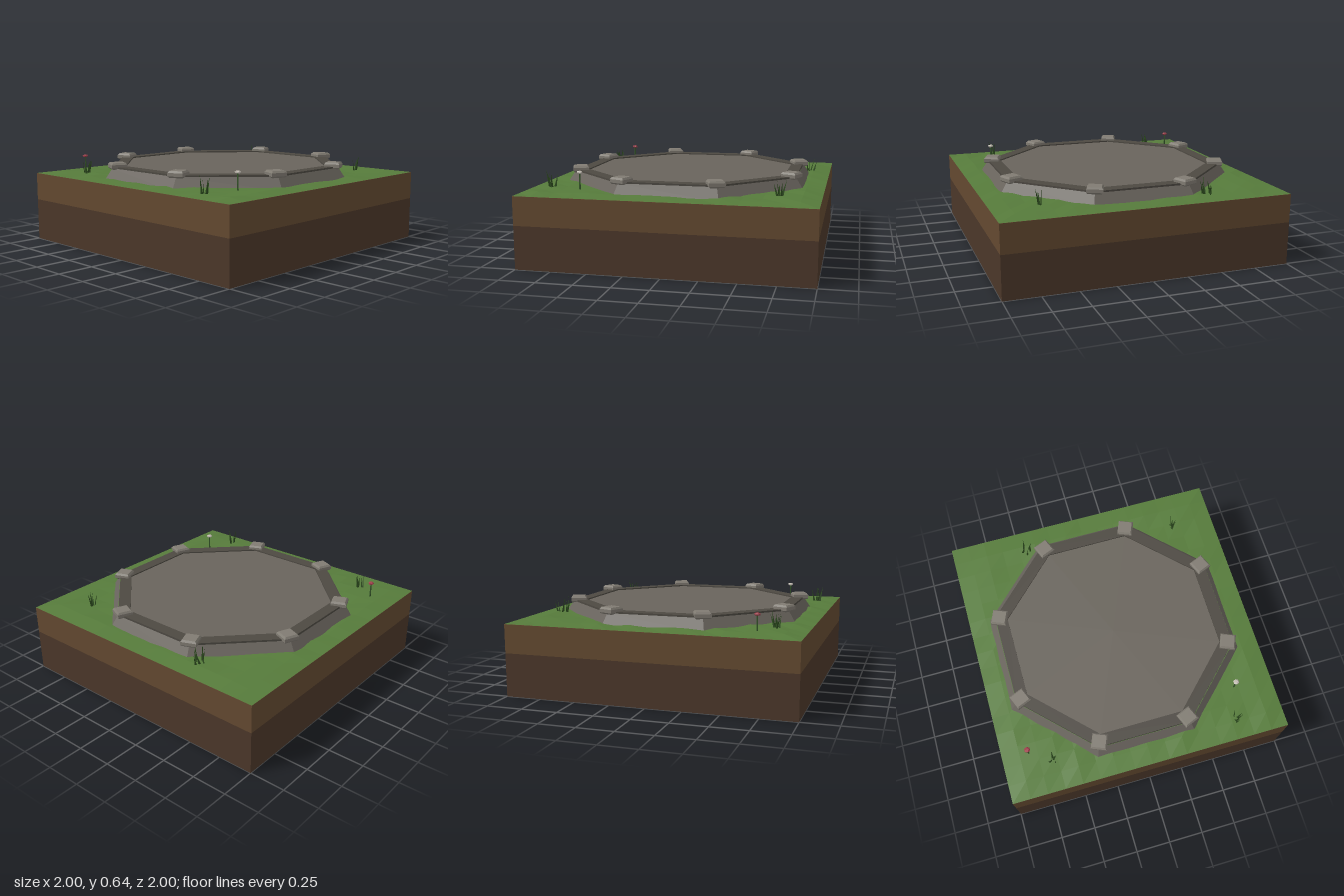
import * as THREE from 'three';

const mat = (color, extra = {}) => new THREE.MeshStandardMaterial({ color, flatShading: true, ...extra });

// Small seeded generator for the natural irregularities
function seeded(seed) {
  let s = seed;
  return () => (s = (s * 16807) % 2147483647) / 2147483647;
}

export function createModel() {
  const model = new THREE.Group();
  const rand = seeded(4711);
  const add = (parent, name, geometry, material, x = 0, y = 0, z = 0) => {
    const mesh = new THREE.Mesh(geometry, material);
    mesh.name = name;
    mesh.position.set(x, y, z);
    parent.add(mesh);
    return mesh;
  };

  // Earth block in two layers
  add(model, 'lowerSoil', new THREE.BoxGeometry(2, 0.3, 2), mat(0x4b3729), 0, 0.15, 0);
  add(model, 'upperSoil', new THREE.BoxGeometry(2, 0.199, 2), mat(0x634930), 0, 0.3995, 0);

  // Uneven turf, level along the border
  const turf = new THREE.PlaneGeometry(2, 2, 16, 16).rotateX(-Math.PI / 2);
  const p = turf.attributes.position;
  for (let i = 0; i < p.count; i++) {
    const edge = Math.max(Math.abs(p.getX(i)), Math.abs(p.getZ(i)));
    p.setY(i, edge > 0.99 ? 0 : 0.002 + 0.015 * rand());
  }
  turf.computeVertexNormals();
  add(model, 'turf', turf, mat(0x567b3b), 0, 0.5, 0);

  // Octagonal stone platform, one flat side towards each face of the block
  const platform = new THREE.Group();
  platform.name = 'platform';
  model.add(platform);
  const turn = Math.PI / 8;
  const octagon = (profile) =>
    new THREE.LatheGeometry(profile.map(([r, y]) => new THREE.Vector2(r, y)), 8, turn);
  add(platform, 'slopingWall', octagon([[0.93, 0.49], [0.87, 0.576]]), mat(0x69645d));
  add(platform, 'rim', octagon([[0.866, 0.57], [0.866, 0.587], [0.775, 0.587], [0.775, 0.57]]), mat(0x4d4942));
  add(platform, 'floor', octagon([[0.775, 0.578], [0, 0.578]]), mat(0x69645c));

  // Bevelled cap stones on the corners
  const h = Math.SQRT2;
  const capGeometry = new THREE.LatheGeometry(
    [[0, -0.023], [0.046 * h, -0.023], [0.055 * h, -0.013], [0.055 * h, 0.01], [0.045 * h, 0.023], [0, 0.023]]
      .map(([r, y]) => new THREE.Vector2(r, y)), 4, Math.PI / 4);
  const capMaterial = mat(0x807b72);
  for (let i = 0; i < 8; i++) {
    const a = turn + (i * Math.PI) / 4;
    const cap = add(platform, 'capStone', capGeometry, capMaterial, 0.832 * Math.sin(a), 0.593, 0.832 * Math.cos(a));
    cap.rotation.y = a;
  }

  // Grass tufts made of thin leaning blades
  const bladeMaterial = mat(0x2c4a1e, { side: THREE.DoubleSide });
  const tufts = [[-0.66, 0.78, 0.04, 7], [0.65, 0.86, 0.025, 5], [0.68, -0.73, 0.025, 5], [-0.45, -0.84, 0.04, 7]];
  for (const [x, z, spread, count] of tufts) {
    const tuft = new THREE.Group();
    tuft.name = 'grassTuft';
    tuft.position.set(x, 0.5, z);
    model.add(tuft);
    for (let i = 0; i < count; i++) {
      const a = (i / count) * Math.PI * 2 + rand();
      const height = 0.085 + 0.045 * rand();
      const blade = new THREE.ConeGeometry(0.011, height, 3).translate(0, height / 2, 0).scale(1, 1, 0.5);
      const mesh = add(tuft, 'blade', blade, bladeMaterial, Math.cos(a) * spread * rand(), 0, Math.sin(a) * spread * rand());
      mesh.rotation.set(Math.sin(a) * 0.22, a, -Math.cos(a) * 0.22);
    }
  }

  // Two small flowers
  for (const [x, z, top, color] of [[-0.81, 0.69, 0.62, 0xa0404c], [0.72, 0.63, 0.628, 0xc4beb4]]) {
    const flower = new THREE.Group();
    flower.name = 'flower';
    flower.position.set(x, 0, z);
    model.add(flower);
    add(flower, 'stem', new THREE.CylinderGeometry(0.005, 0.006, top - 0.5, 5), mat(0x35552a), 0, (top + 0.5) / 2, 0);
    add(flower, 'blossom', new THREE.IcosahedronGeometry(0.022, 0).scale(1, 0.55, 1), mat(color), 0, top, 0);
  }
  return model;
}
